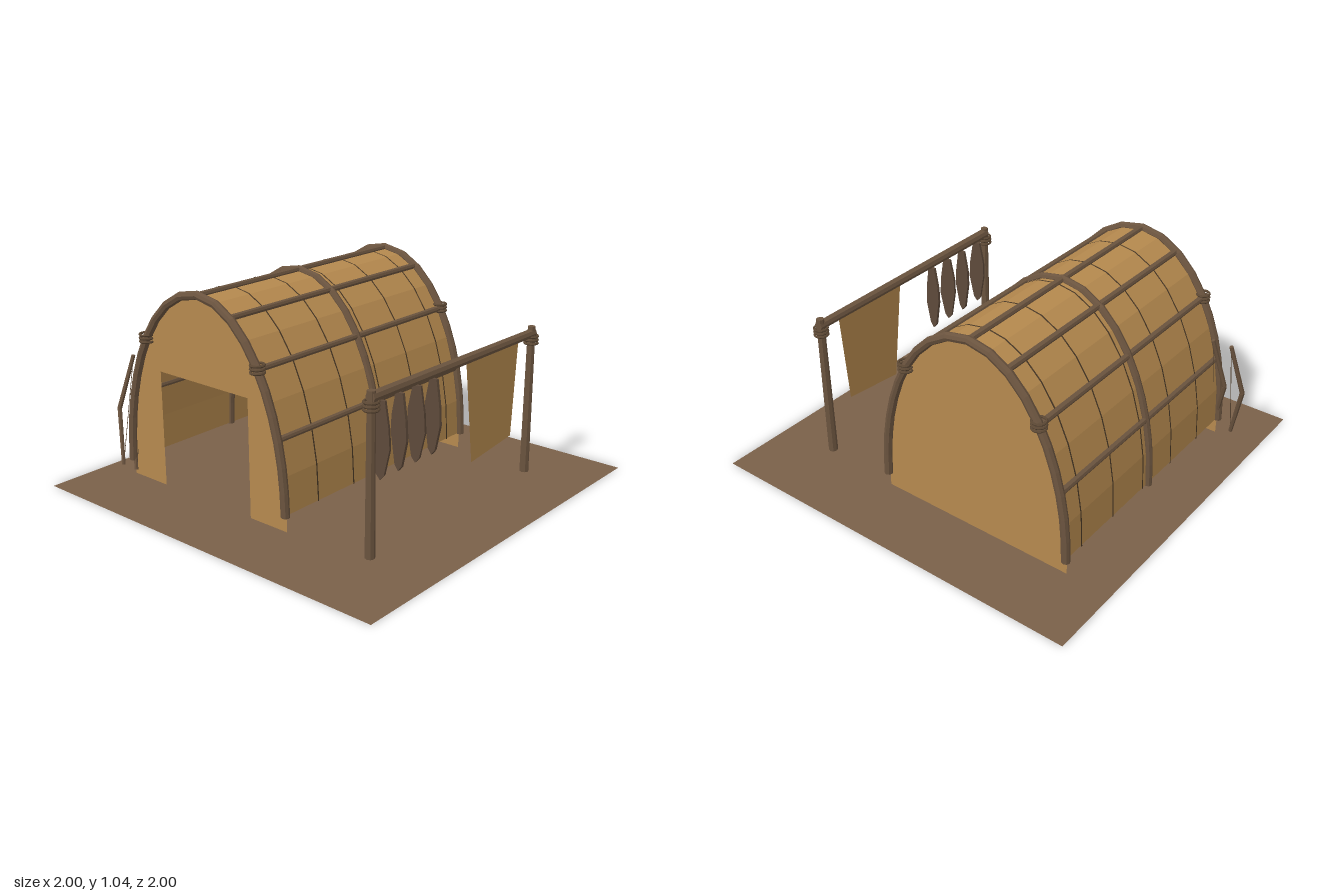
import * as THREE from 'three';

const mat = (name, color, side = THREE.FrontSide) => {
  const m = new THREE.MeshStandardMaterial({ color, side, flatShading: true });
  m.name = name;
  return m;
};

const CX = -0.267, BASE = 0.1, RX = 0.514, RY = 0.92, END = 0.67;

// Point on the half-elliptical arch, at angle a from the +x foot
const archPoint = (a, z, inset = 0) => new THREE.Vector3(
  CX + (RX - inset) * Math.cos(a), BASE + (RY - inset) * Math.sin(a), z);

// Strip following the arch between two z positions
function archStrip(z0, z1, inset, segments = 16) {
  const pos = [], index = [];
  for (let i = 0; i <= segments; i++) {
    const a = (i / segments) * Math.PI;
    pos.push(...archPoint(a, z0, inset).toArray(), ...archPoint(a, z1, inset).toArray());
    if (i < segments) {
      const k = i * 2;
      index.push(k, k + 2, k + 1, k + 1, k + 2, k + 3);
    }
  }
  const g = new THREE.BufferGeometry();
  g.setAttribute('position', new THREE.Float32BufferAttribute(pos, 3));
  g.setIndex(index);
  g.computeVertexNormals();
  return g;
}

// Round stick between two points, r0 at the start and r1 at the end
function stick(p, q, r0, r1 = r0, sides = 8) {
  const a = new THREE.Vector3(...p), b = new THREE.Vector3(...q);
  const dir = b.clone().sub(a);
  const g = new THREE.CylinderGeometry(r1, r0, dir.length(), sides);
  g.applyQuaternion(new THREE.Quaternion().setFromUnitVectors(
    new THREE.Vector3(0, 1, 0), dir.clone().normalize()));
  const c = a.add(b).multiplyScalar(0.5);
  return g.translate(c.x, c.y, c.z);
}

export function createModel() {
  const root = new THREE.Group();
  root.name = 'longhouseCamp';
  const bark = mat('bark', 0xb5894e, THREE.DoubleSide);
  const wood = mat('wood', 0x6b543f);
  const cord = mat('cord', 0x5c4834);
  const seam = mat('seam', 0x4a3926, THREE.DoubleSide);
  const earth = mat('earth', 0x7a6049, THREE.DoubleSide);
  const fishSkin = mat('driedFish', 0x5e4a3a);

  const add = (name, geometry, material, parent = root) => {
    const m = new THREE.Mesh(geometry, material);
    m.name = name;
    parent.add(m);
    return m;
  };
  const group = (name) => {
    const g = new THREE.Group();
    g.name = name;
    root.add(g);
    return g;
  };

  // Ground
  add('ground', new THREE.PlaneGeometry(2, 2).rotateX(-Math.PI / 2), earth);

  // Bark covering with seams between the sheets
  const house = group('house');
  add('barkCover', archStrip(-END, END, 0.004), bark, house);
  for (const z of [-0.55, -0.3, -0.05, 0.2, 0.45])
    add('barkSeam', archStrip(z - 0.004, z + 0.004, -0.001), seam, house);

  // End walls, the front one with a doorway
  for (const front of [true, false]) {
    const s = new THREE.Shape();
    s.moveTo(CX + RX, 0.02);
    for (let i = 0; i <= 16; i++) {
      const p = archPoint((i / 16) * Math.PI, 0);
      s.lineTo(p.x, p.y);
    }
    s.lineTo(CX - RX, 0.02);
    if (front) {
      s.lineTo(-0.555, 0.02);
      s.lineTo(-0.555, 0.6);
      s.lineTo(0.02, 0.6);
      s.lineTo(0.02, 0.02);
    }
    const z = front ? 0.66 : -0.66;
    add(front ? 'frontWall' : 'backWall', new THREE.ShapeGeometry(s).translate(0, 0, z), bark, house);
  }

  // Bent hoops
  for (const z of [-END, 0, END]) {
    const pts = [];
    for (let i = 0; i <= 16; i++) pts.push(archPoint((i / 16) * Math.PI, z));
    const r = z === 0 ? 0.019 : 0.021;
    add('hoop', new THREE.TubeGeometry(new THREE.CatmullRomCurve3(pts), 20, r, 8), wood, house);
    for (const p of [pts[0], pts[16]])
      add('hoopFoot', new THREE.CylinderGeometry(r, r, 0.006, 8).translate(p.x, p.y, p.z), wood, house);
  }

  // Lengthwise poles
  for (let i = 1; i <= 7; i++) {
    const a = (i / 8) * Math.PI;
    add('ridgePole', stick(archPoint(a, -END).toArray(), archPoint(a, END).toArray(), 0.016, 0.015), wood, house);
  }

  // Cord lashings, three turns each
  const lash = (x, y, z, parent) => {
    for (let i = -1; i <= 1; i++)
      add('lashing', new THREE.TorusGeometry(0.032, 0.006, 6, 14).rotateX(Math.PI / 2)
        .translate(x, y + i * 0.017, z), cord, parent);
  };
  for (const z of [-END, END])
    for (const a of [Math.PI / 4, Math.PI * 0.75]) {
      const p = archPoint(a, z);
      lash(p.x, p.y + 0.005, z, house);
    }

  // Drying rack
  const rack = group('dryingRack');
  const rx = 0.672;
  for (const z of [0.602, -0.625]) {
    add('rackPost', stick([rx, 0.016, z], [rx, 0.77, z], 0.023, 0.019), wood, rack);
    lash(rx, 0.704, z, rack);
  }
  add('rackRail', stick([rx, 0.74, 0.61], [rx, 0.735, -0.64], 0.025, 0.022), wood, rack);

  // Hanging fish
  const outline = [[-0.02, 0.71], [-0.042, 0.6], [-0.044, 0.52], [-0.02, 0.38],
    [0, 0.355], [0.02, 0.38], [0.046, 0.5], [0.04, 0.59], [0.02, 0.71]];
  const fishShape = new THREE.Shape(outline.map(([x, y]) => new THREE.Vector2(x, y)));
  for (const [i, z] of [0.535, 0.41, 0.29, 0.17].entries()) {
    const g = new THREE.ExtrudeGeometry(fishShape, { depth: 0.014, bevelEnabled: false });
    g.translate(0, 0, -0.007).rotateY(i % 2 ? -0.1 : 0.1);
    add('hangingFish', g.translate(rx, 0, z), fishSkin, rack);
  }

  // Hanging hide, turned to face sideways
  const hide = new THREE.Shape([[0.075, 0.72], [0.145, 0.215], [0.476, 0.25], [0.508, 0.72]]
    .map(([x, y]) => new THREE.Vector2(x, y)));
  add('hangingHide', new THREE.ShapeGeometry(hide).rotateY(Math.PI / 2).translate(rx, 0, 0), bark, rack);

  // Two bows leaning by the front corner
  for (const x of [-0.855, -0.757]) {
    const bow = group('bow');
    const top = [x, 0.6, 0.575], mid = [x - 0.058, 0.325, 0.635], low = [x, 0.05, 0.678];
    add('bowLimb', stick(mid, top, 0.012, 0.01, 6), wood, bow);
    add('bowLimb', stick(mid, low, 0.012, 0.01, 6), wood, bow);
    add('bowGrip', new THREE.SphereGeometry(0.012, 6, 4).translate(...mid), wood, bow);
    add('bowString', stick(top, low, 0.002, 0.002, 4), cord, bow);
  }

  return root;
}
